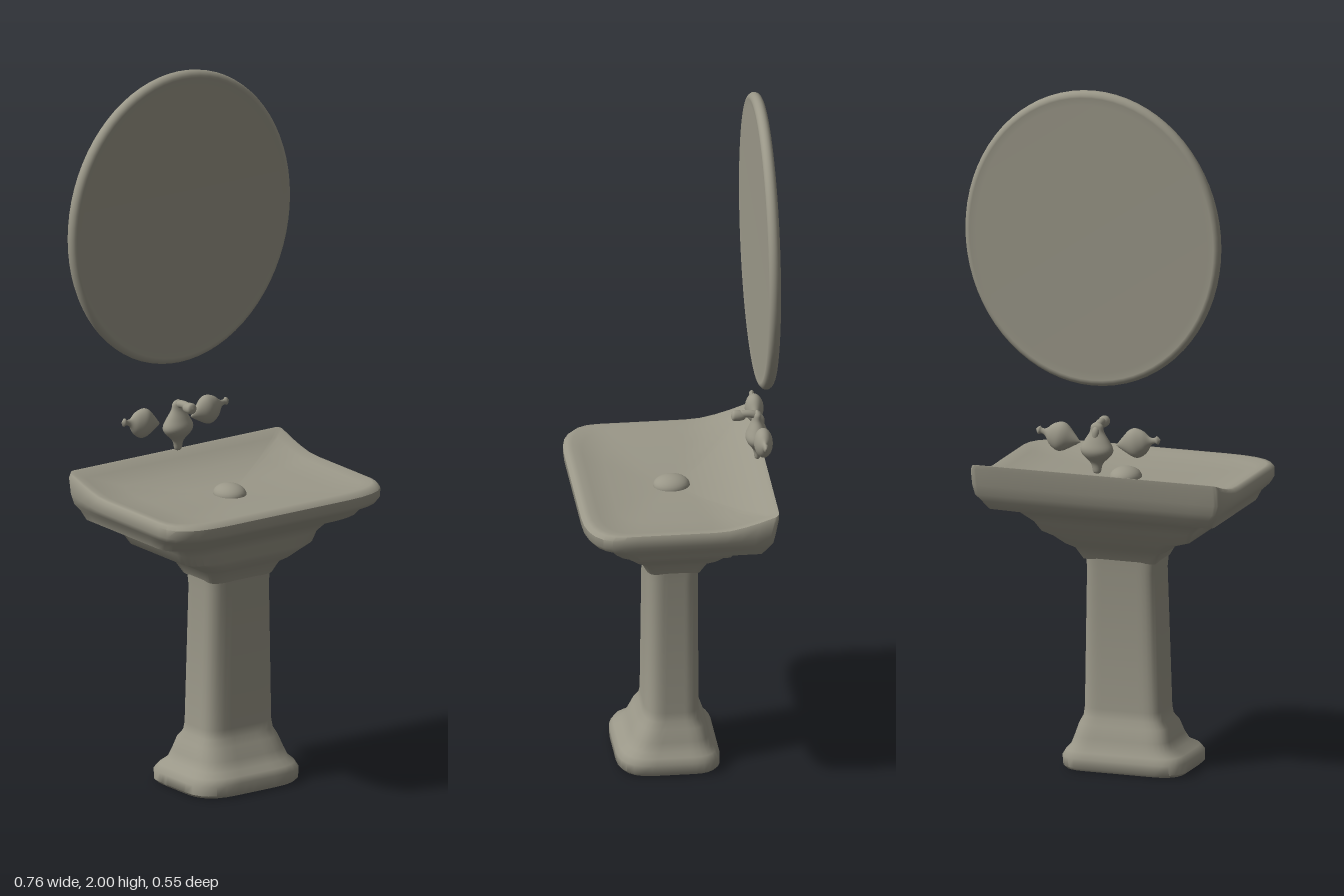
import * as THREE from 'three';
import { toCreasedNormals } from 'three/addons/utils/BufferGeometryUtils.js';

const ceramic = new THREE.MeshStandardMaterial({ color: 0x9a9788 });
ceramic.name = 'ceramic';

function part(name, geometry, parent) {
  const mesh = new THREE.Mesh(geometry, ceramic);
  mesh.name = name;
  parent.add(mesh);
  return mesh;
}

// Rectangle with rounded corners; front and back corners are cut separately.
function outline(x0, x1, z0, z1, front, back) {
  const w = x1 - x0, d = z1 - z0;
  const [fx, fz] = [front[0] * w, front[1] * d];
  const [bx, bz] = [back[0] * w, back[1] * d];
  const corners = [
    [[x1, z0 + bz], [x1, z0], [x1 - bx, z0]],
    [[x0 + bx, z0], [x0, z0], [x0, z0 + bz]],
    [[x0, z1 - fz], [x0, z1], [x0 + fx, z1]],
    [[x1 - fx, z1], [x1, z1], [x1, z1 - fz]],
  ];
  const points = [];
  corners.forEach(([a, c, b], k) => {
    for (let i = 0; i <= 6; i++) {
      const t = i / 6, s = 1 - t;
      points.push([0, 1].map((n) => s * s * a[n] + 2 * s * t * c[n] + t * t * b[n]));
    }
    const next = corners[(k + 1) % 4][0];
    for (let i = 1; i < 10; i++) {
      points.push([0, 1].map((n) => b[n] + (next[n] - b[n]) * i / 10));
    }
  });
  return points;
}

// Skin over sections [y, x0, x1, z0, z1, lift], closed at both ends.
function loft(sections, front, back) {
  const positions = [], indices = [];
  let n = 0;
  for (const [y, x0, x1, z0, z1, lift = 0] of sections) {
    const ring = outline(x0, x1, z0, z1, front, back);
    n = ring.length;
    for (const [x, z] of ring) {
      // The rear of the rim sweeps up into a low splashback
      const rise = Math.pow(Math.max(0, -0.1 - z) / 0.165, 1.5);
      positions.push(x, y + lift * rise, z);
    }
  }
  const last = sections.length - 1;
  for (let i = 0; i < last; i++) {
    for (let j = 0; j < n; j++) {
      const k = (j + 1) % n;
      const a = i * n + j, b = i * n + k, c = b + n, d = a + n;
      indices.push(a, b, c, a, c, d);
    }
  }
  const bottom = positions.length / 3;
  for (const s of [sections[0], sections[last]]) {
    positions.push((s[1] + s[2]) / 2, s[0], (s[3] + s[4]) / 2);
  }
  for (let j = 0; j < n; j++) {
    const k = (j + 1) % n;
    indices.push(bottom, k, j, bottom + 1, last * n + j, last * n + k);
  }
  const g = new THREE.BufferGeometry();
  g.setAttribute('position', new THREE.Float32BufferAttribute(positions, 3));
  g.setIndex(indices);
  return toCreasedNormals(g, 0.8);
}

function lathe(profile, segments = 32) {
  const curve = new THREE.SplineCurve(profile.map(([r, y]) => new THREE.Vector2(r, y)));
  const points = curve.getPoints(profile.length * 4);
  points.forEach((p) => { p.x = Math.max(0, p.x); });
  return new THREE.LatheGeometry(points, segments);
}

export function createModel() {
  const model = new THREE.Group();
  model.name = 'pedestalSink';

  // Pedestal: stepped foot and slightly tapering column
  part('pedestal', loft([
    [0, -0.2, 0.148, -0.12, 0.153],
    [0.008, -0.208, 0.155, -0.127, 0.16],
    [0.035, -0.208, 0.157, -0.128, 0.16],
    [0.052, -0.195, 0.148, -0.118, 0.15],
    [0.065, -0.17, 0.135, -0.108, 0.13],
    [0.09, -0.158, 0.126, -0.1, 0.115],
    [0.125, -0.147, 0.115, -0.088, 0.098],
    [0.145, -0.132, 0.105, -0.076, 0.084],
    [0.17, -0.128, 0.102, -0.072, 0.079],
    [0.57, -0.115, 0.096, -0.07, 0.075],
    [0.63, -0.12, 0.1, -0.075, 0.08],
  ], [0.3, 0.32], [0.2, 0.25]), model);

  // Basin: moulded underside, rolled rim and shallow dished top
  part('basin', loft([
    [0.6, -0.116, 0.097, -0.071, 0.077],
    [0.635, -0.135, 0.115, -0.09, 0.095],
    [0.65, -0.165, 0.135, -0.115, 0.12],
    [0.675, -0.2, 0.165, -0.135, 0.145],
    [0.69, -0.245, 0.195, -0.15, 0.155],
    [0.72, -0.26, 0.21, -0.17, 0.16],
    [0.75, -0.285, 0.245, -0.195, 0.18],
    [0.76, -0.345, 0.325, -0.225, 0.205],
    [0.785, -0.355, 0.342, -0.24, 0.225],
    [0.8, -0.37, 0.358, -0.25, 0.262, 0.005],
    [0.815, -0.377, 0.364, -0.256, 0.274, 0.02],
    [0.84, -0.377, 0.365, -0.265, 0.275, 0.04],
    [0.85, -0.37, 0.36, -0.266, 0.265, 0.043],
    [0.852, -0.362, 0.352, -0.256, 0.25, 0.043],
    [0.844, -0.335, 0.325, -0.235, 0.225, 0.043],
    [0.836, -0.25, 0.24, -0.18, 0.17, 0.04],
    [0.83, -0.12, 0.11, -0.09, 0.09],
    [0.828, -0.02, 0.01, -0.02, 0.02],
  ], [0.22, 0.19], [0.025, 0.03]), model);

  // Drain cover
  const drain = part('drainCover', new THREE.SphereGeometry(1, 32, 16), model);
  drain.scale.set(0.045, 0.03, 0.052);
  drain.position.set(-0.005, 0.828, -0.003);

  // Oval mirror: thin disc with a rounded edge
  const edge = [new THREE.Vector2(0, -0.014), new THREE.Vector2(0.345, -0.014)];
  for (let i = 0; i <= 10; i++) {
    const a = -Math.PI / 2 + Math.PI * i / 10;
    edge.push(new THREE.Vector2(0.363 + 0.017 * Math.cos(a), 0.017 * Math.sin(a)));
  }
  edge.push(new THREE.Vector2(0.345, 0.014), new THREE.Vector2(0, 0.014));
  const mirror = part('mirror', new THREE.LatheGeometry(edge, 72), model);
  mirror.rotation.x = Math.PI / 2;
  mirror.scale.z = 0.425 / 0.38;
  mirror.position.set(0, 1.575, -0.252);

  // Tap: bulbous body, curved spout and nozzle
  const tap = new THREE.Group();
  tap.name = 'tap';
  tap.position.set(-0.008, 0, -0.245);
  model.add(tap);
  const body = part('tapBody', lathe([
    [0, 0.895], [0.011, 0.9], [0.018, 0.925], [0.042, 0.95], [0.047, 0.968],
    [0.036, 0.99], [0.021, 1.015], [0.016, 1.035], [0, 1.045],
  ]), tap);
  body.scale.z = 0.7;
  const path = new THREE.CatmullRomCurve3([
    [0, 0.99, -0.008], [0, 1.02, -0.008], [0, 1.033, 0.012], [0, 1.035, 0.04], [0, 1.032, 0.055],
  ].map((p) => new THREE.Vector3(...p)));
  part('spout', new THREE.TubeGeometry(path, 24, 0.011, 16), tap);
  const nozzle = part('nozzle', lathe([
    [0, -0.022], [0.013, -0.018], [0.016, -0.008], [0.014, 0.008], [0.009, 0.018], [0, 0.02],
  ], 20), tap);
  nozzle.rotation.x = Math.PI / 2 - 0.1;
  nozzle.scale.y = -1;
  nozzle.scale.x = -1;
  nozzle.position.set(0, 1.031, 0.052);

  // Handles: spindle shapes with levers pointing outwards
  for (const [name, x, side] of [['leftHandle', 0.1, 1], ['rightHandle', -0.128, -1]]) {
    const handle = part(name, lathe([
      [0, -0.062], [0.007, -0.055], [0.024, -0.035], [0.039, -0.015], [0.042, 0.003],
      [0.031, 0.025], [0.012, 0.042], [0.008, 0.055], [0.012, 0.064], [0, 0.073],
    ]), model);
    handle.rotation.z = side * (-Math.PI / 2 + 0.2);
    handle.scale.z = 0.62;
    handle.position.set(x, 0.995, -0.25);
  }
  return model;
}
